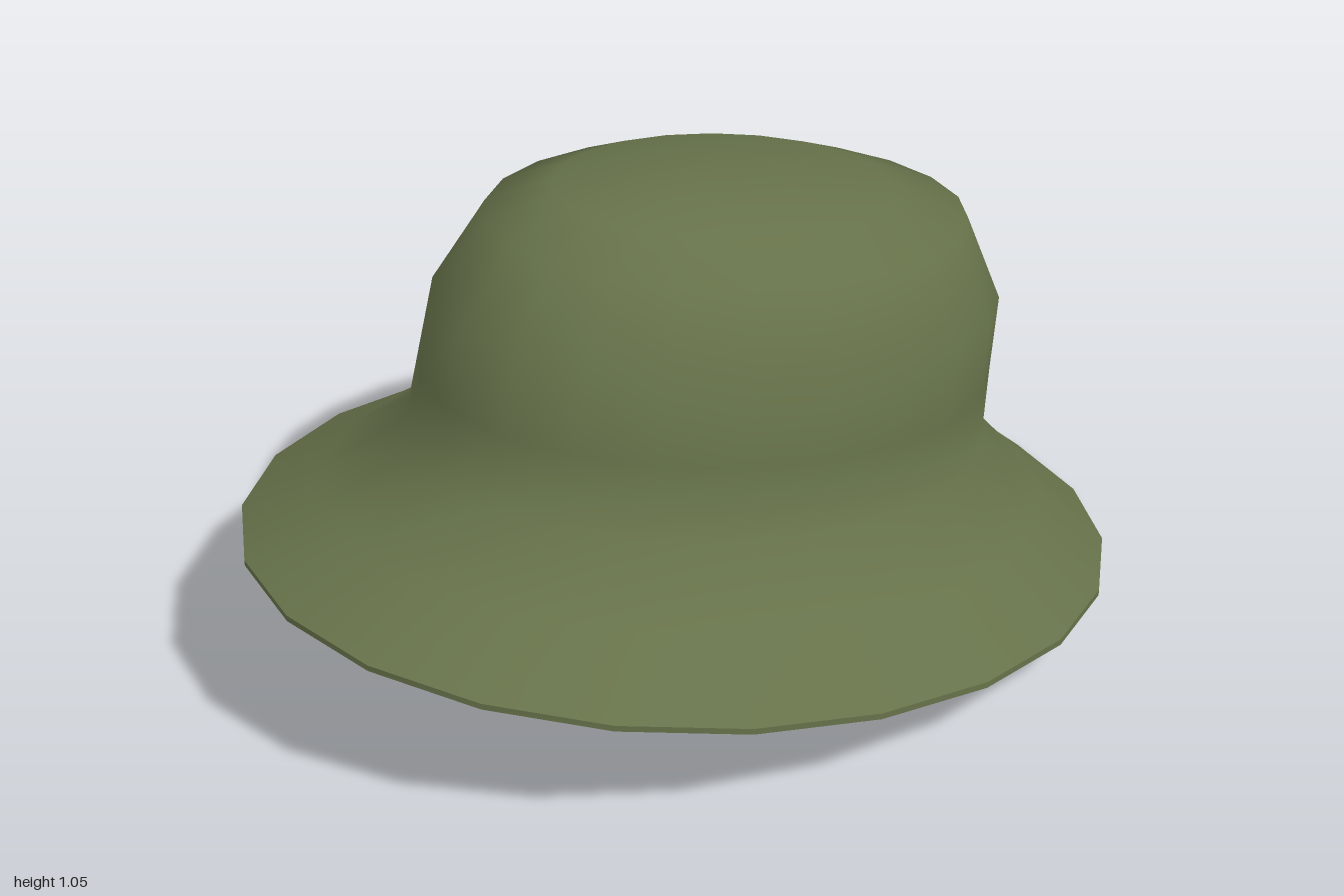
import * as THREE from 'three';

const SEGMENTS = 22;

// Skin tilted oval rings, listed bottom to top: [frontZ, frontY, backZ, backY, halfWidth].
// An optional tip [y, z] closes the top.
function loftRings(rings, tip) {
  const positions = [];
  const index = [];
  for (const [fz, fy, bz, by, w] of rings) {
    for (let j = 0; j < SEGMENTS; j++) {
      const a = (j / SEGMENTS) * Math.PI * 2;
      const t = (1 + Math.cos(a)) / 2; // 1 at the front, 0 at the back
      positions.push(w * Math.sin(a), by + (fy - by) * t, bz + (fz - bz) * t);
    }
  }
  for (let i = 0; i < rings.length - 1; i++) {
    for (let j = 0; j < SEGMENTS; j++) {
      const a = i * SEGMENTS + j;
      const b = i * SEGMENTS + ((j + 1) % SEGMENTS);
      index.push(a, b, b + SEGMENTS, a, b + SEGMENTS, a + SEGMENTS);
    }
  }
  if (tip) {
    const centre = positions.length / 3;
    const last = (rings.length - 1) * SEGMENTS;
    positions.push(0, tip[0], tip[1]);
    for (let j = 0; j < SEGMENTS; j++) index.push(last + j, last + ((j + 1) % SEGMENTS), centre);
  }
  const geometry = new THREE.BufferGeometry();
  geometry.setAttribute('position', new THREE.Float32BufferAttribute(positions, 3));
  geometry.setIndex(index);
  geometry.computeVertexNormals();
  return geometry;
}

export function createModel() {
  const hat = new THREE.Group();
  hat.name = 'bucketHat';
  const felt = new THREE.MeshStandardMaterial({ color: 0x66724a, side: THREE.DoubleSide });

  const add = (name, geometry) => {
    const mesh = new THREE.Mesh(geometry, felt);
    mesh.name = name;
    hat.add(mesh);
  };

  // Sloping brim flowing into the crown as one smooth open shell
  add('brimAndCrown', loftRings([
    [1.0, 0.375, -1.0, 0.015, 0.82],   // rim
    [0.82, 0.46, -0.845, 0.155, 0.655], // middle of the brim
    [0.64, 0.55, -0.72, 0.305, 0.505], // foot of the crown
    [0.6, 0.705, -0.735, 0.465, 0.495],
    [0.56, 0.86, -0.755, 0.63, 0.485], // upper wall
    [0.44, 1.02, -0.68, 0.825, 0.4],   // shoulder
    [0.29, 1.055, -0.5, 0.915, 0.28],  // top
    [0.12, 1.052, -0.27, 0.98, 0.13],
  ], [1.03, -0.06]));

  // Thin edge of the brim
  add('brimEdge', loftRings([
    [1.0, 0.362, -1.0, 0, 0.82],
    [1.0, 0.375, -1.0, 0.015, 0.82],
  ]));

  return hat;
}
